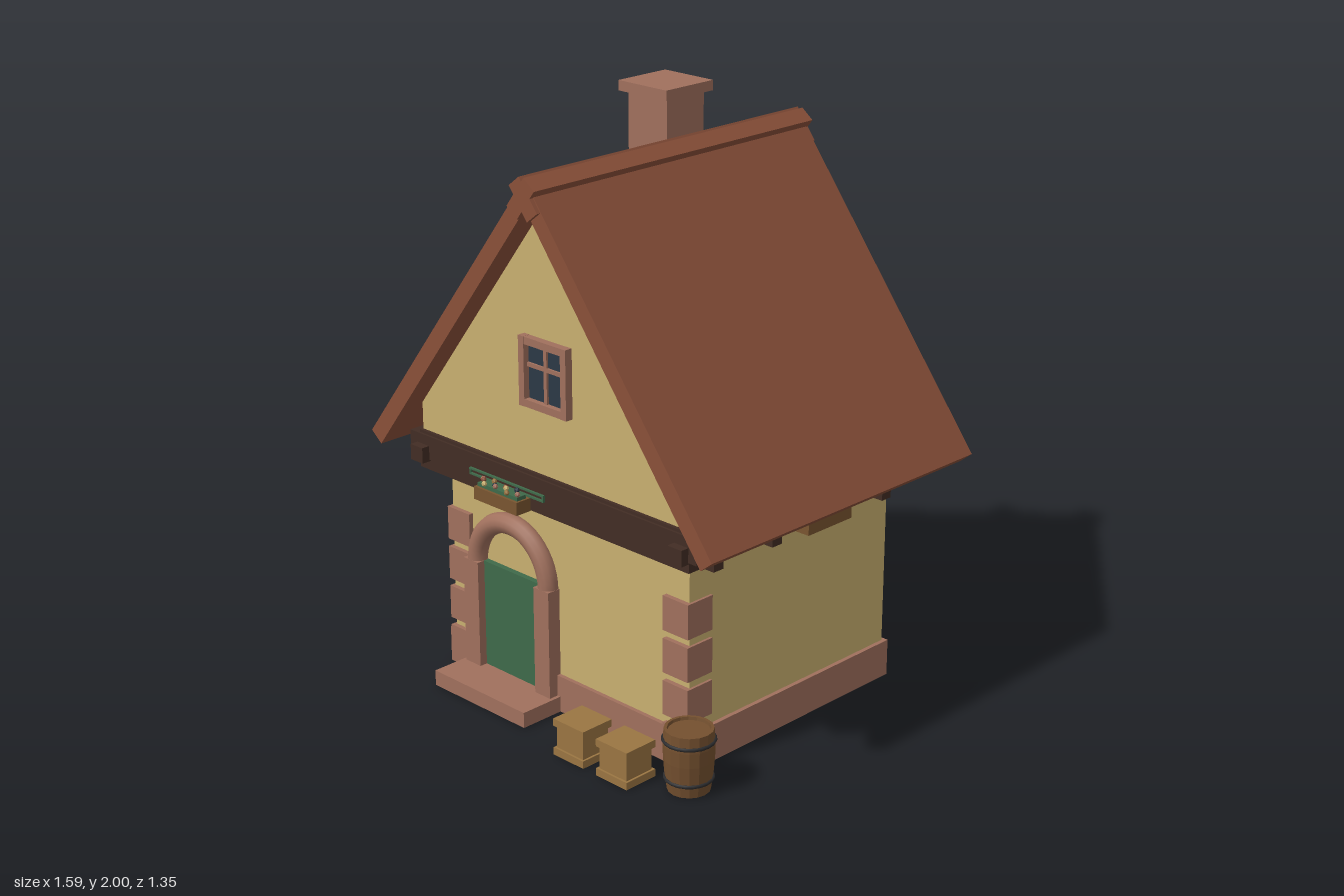
import * as THREE from 'three';

const mat = (name, color) => {
  const m = new THREE.MeshStandardMaterial({ color });
  m.name = name;
  return m;
};

export function createModel() {
  const plaster = mat('plaster', 0xc9b070), stone = mat('stone', 0xa0705d);
  const roofTile = mat('roofTile', 0x8a5039), darkWood = mat('darkWood', 0x422d24);
  const wood = mat('wood', 0x795530), paleWood = mat('paleWood', 0x9a7542);
  const barrelWood = mat('barrelWood', 0x74502f), green = mat('green', 0x3f6a4a);
  const glass = mat('glass', 0x2c3946), iron = mat('iron', 0x2b2b2d);

  const house = new THREE.Group();
  house.name = 'cottage';
  const add = (parent, name, geo, material) => {
    const m = new THREE.Mesh(geo, material);
    m.name = name;
    parent.add(m);
    return m;
  };
  // box given by its extents on each axis
  const box = (parent, name, material, x0, x1, y0, y1, z0, z1) => {
    const m = add(parent, name, new THREE.BoxGeometry(x1 - x0, y1 - y0, z1 - z0), material);
    m.position.set((x0 + x1) / 2, (y0 + y1) / 2, (z0 + z1) / 2);
    return m;
  };
  const prism = (name, material, pts, z0, z1) => {
    const shape = new THREE.Shape(pts.map(p => new THREE.Vector2(p[0], p[1])));
    const m = add(house, name, new THREE.ExtrudeGeometry(shape, { depth: z1 - z0, bevelEnabled: false }), material);
    m.position.z = z0;
  };
  const group = (name, x, y, z, turn = 0) => {
    const g = new THREE.Group();
    g.name = name;
    g.position.set(x, y, z);
    g.rotation.y = turn;
    house.add(g);
    return g;
  };
  const midZ = -0.035;

  // ground floor
  box(house, 'plinth', stone, -0.575, 0.575, 0, 0.13, -0.525, 0.455);
  box(house, 'lowerWalls', plaster, -0.56, 0.56, 0.1, 0.75, -0.51, 0.44);
  for (const s of [-1, 1])
    for (let i = 0; i < 4; i++) {
      const q = box(house, 'cornerStone', stone, -0.055, 0.055, 0.02 + i * 0.148, 0.14 + i * 0.148, 0.345, 0.457);
      q.position.x = s * 0.514;
    }

  // timber frame under the upper floor
  box(house, 'floorFrame', darkWood, -0.63, 0.63, 0.73, 0.865, -0.587, 0.517);
  for (const z of [0.495, -0.565])
    box(house, 'crossBeam', darkWood, -0.67, 0.67, 0.77, 0.855, z - 0.03, z + 0.03);
  for (const x of [-0.605, 0.605])
    box(house, 'sideBeam', darkWood, x - 0.03, x + 0.03, 0.765, 0.82, -0.62, 0.555);
  for (let i = 0; i < 4; i++) {
    const z = 0.37 - i * 0.27;
    box(house, 'joist', darkWood, -0.617, 0.617, 0.69, 0.735, z - 0.022, z + 0.022);
  }

  // gabled upper floor and roof
  prism('upperWalls', plaster, [[-0.625, 0.8], [0.625, 0.8], [0.625, 0.96], [0, 1.775], [-0.625, 0.96]], -0.575, 0.505);
  prism('roof', roofTile, [[0, 1.772], [-0.748, 0.8], [-0.795, 0.838], [-0.03, 1.828], [0.03, 1.828],
    [0.795, 0.838], [0.748, 0.8]], -0.66, 0.59);
  for (const s of [-1, 1]) {
    const cap = box(house, 'ridgeBoard', roofTile, -0.065, 0.065, 1.777, 1.835, -0.67, 0.604);
    cap.position.x = s * 0.006;
    cap.rotation.z = -s * 0.914;
  }

  // chimney
  box(house, 'chimneyShaft', stone, -0.313, -0.135, 1.3, 1.97, -0.34, -0.165);
  box(house, 'chimneyCap', stone, -0.337, -0.115, 1.965, 2, -0.363, -0.142);

  // gable windows
  for (const s of [1, -1]) {
    const w = group('window', 0, 1.21, s > 0 ? 0.505 : -0.575, s > 0 ? 0 : Math.PI);
    box(w, 'pane', glass, -0.09, 0.09, -0.1, 0.1, 0, 0.006);
    for (const k of [-1, 1]) {
      box(w, 'jamb', stone, k * 0.0965 - 0.0125, k * 0.0965 + 0.0125, -0.118, 0.118, 0, 0.028);
      box(w, 'rail', stone, -0.085, 0.085, k * 0.105 - 0.0125, k * 0.105 + 0.0125, 0, 0.027);
    }
    box(w, 'mullion', stone, -0.007, 0.007, -0.1, 0.1, 0, 0.014);
    box(w, 'transom', stone, -0.085, 0.085, 0.015, 0.029, 0, 0.013);
  }

  // doorway with round arch
  const door = group('doorway', -0.245, 0, 0);
  box(door, 'step', stone, -0.223, 0.223, 0, 0.055, 0.4, 0.62);
  box(door, 'doorLeaf', green, -0.14, 0.14, 0.05, 0.44, 0.42, 0.461);
  for (const s of [-1, 1])
    box(door, 'doorPost', stone, s * 0.174 - 0.036, s * 0.174 + 0.036, 0.05, 0.44, 0.42, 0.49);
  const arch = add(door, 'arch', new THREE.TorusGeometry(0.174, 0.036, 12, 24, Math.PI), stone);
  arch.position.set(0, 0.438, 0.455);

  // planters, one on each side
  const petals = [stone, plaster, glass, roofTile, paleWood];
  const planter = (x, z, turn, framed) => {
    const p = group('flowerBox', x, 0.745, z, turn);
    box(p, 'trough', wood, -0.103, 0.103, 0, 0.045, -0.035, 0.025);
    box(p, 'leaves', green, -0.095, 0.095, 0.045, 0.058, -0.025, 0.015);
    for (let i = 0; i < 11; i++) {
      const f = add(p, 'flower', new THREE.IcosahedronGeometry(0.01, 0), petals[(i * 3) % 5]);
      f.position.set(-0.09 + i * 0.018, 0.066 + 0.006 * (i % 2), (i % 3) * 0.014 - 0.006);
    }
    if (framed) {
      for (const y of [0.056, 0.074]) box(p, 'trellisRail', green, -0.178, 0.178, y - 0.003, y + 0.003, -0.03, -0.022);
      for (const k of [-0.175, 0.175]) box(p, 'trellisEnd', green, k - 0.003, k + 0.003, 0.053, 0.077, -0.03, -0.022);
    }
  };
  planter(-0.155, 0.58, 0, true);
  planter(0.15, -0.65, Math.PI, true);
  planter(0.695, midZ, Math.PI / 2, false);
  planter(-0.695, midZ, -Math.PI / 2, false);

  // crates
  for (const x of [0.248, 0.445]) {
    const c = group('crate', x, 0, 0.61);
    box(c, 'crateBody', paleWood, -0.061, 0.061, 0.005, 0.125, -0.056, 0.056);
    for (const y of [0, 0.104]) box(c, 'crateRim', paleWood, -0.069, 0.069, y, y + 0.026, -0.064, 0.064);
  }

  // barrel
  const barrel = group('barrel', 0.64, 0, 0.523);
  const staves = [[0, 0], [0.07, 0], [0.077, 0.05], [0.082, 0.11], [0.083, 0.16], [0.08, 0.213], [0.07, 0.213], [0.068, 0.203], [0, 0.203]];
  const staveGeo = new THREE.LatheGeometry(staves.map(p => new THREE.Vector2(p[0], p[1])), 16).toNonIndexed();
  staveGeo.computeVertexNormals();
  add(barrel, 'staves', staveGeo, barrelWood);
  for (const [y, r] of [[0.043, 0.077], [0.175, 0.083]]) {
    const hoop = add(barrel, 'hoop', new THREE.TorusGeometry(r, 0.006, 6, 20), iron);
    hoop.rotation.x = Math.PI / 2;
    hoop.position.y = y;
  }
  return house;
}
